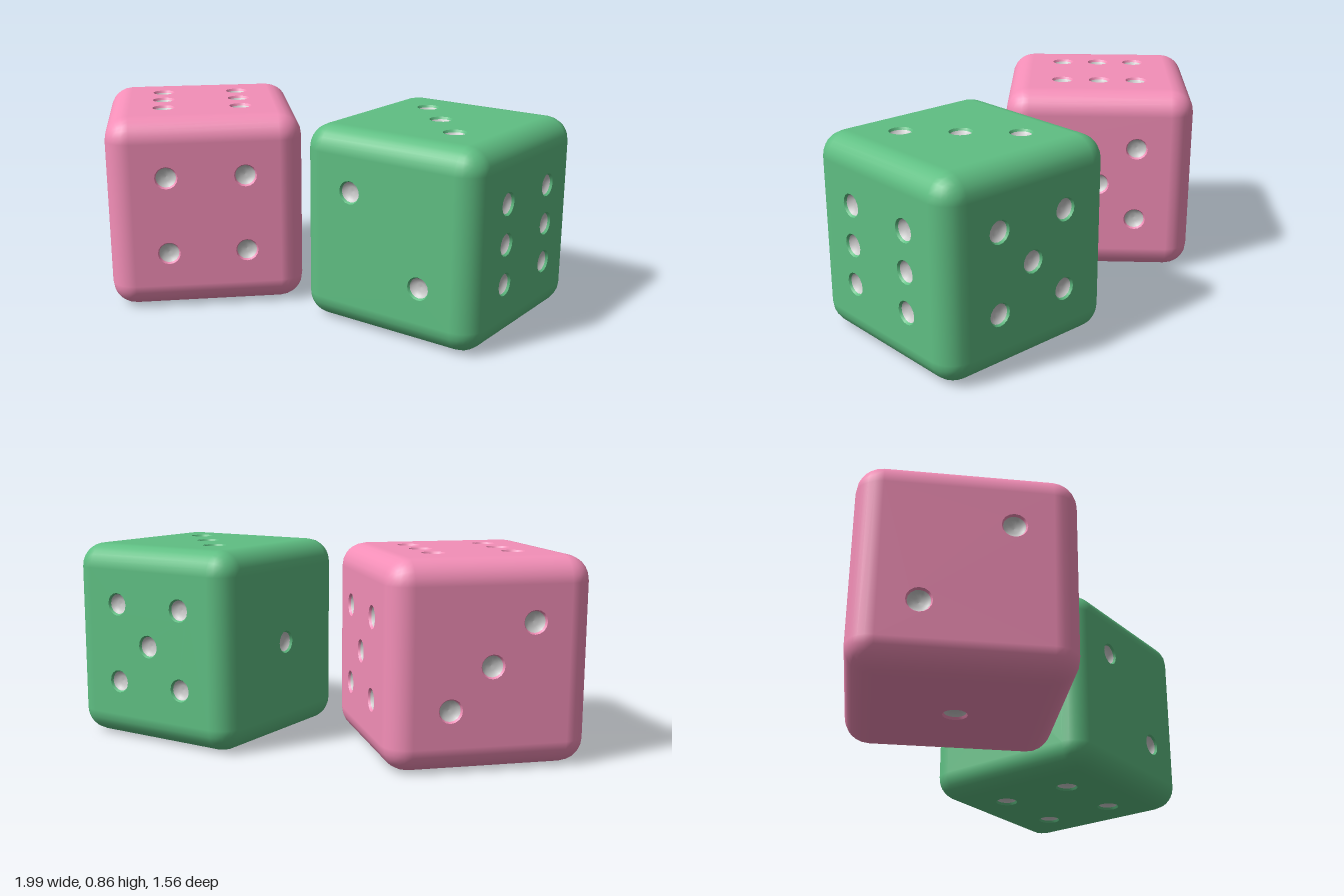
import * as THREE from 'three';
import { mergeGeometries } from 'three/addons/utils/BufferGeometryUtils.js';
import { RoundedBoxGeometry } from 'three/addons/geometries/RoundedBoxGeometry.js';

const SIZE = 0.857, HALF = SIZE / 2, ROUND = 0.105;
const GAP = 0.172;                    // pip offset from the face centre
const RIM = 0.05, PIP = 0.044;        // dent mouth and grey bowl radii
const SIDES = 16;

// Pip layouts in units of GAP, seen facing the side
const rising = [[-1, -1], [1, 1]], falling = [[-1, 1], [1, -1]];
const four = [...rising, ...falling];
const LAYOUT = {
  one: [[0, 0]],
  two: rising,
  twoMirrored: falling,
  three: [...rising, [0, 0]],
  four,
  five: [...four, [0, 0]],
  six: [...four, [-1, 0], [1, 0]],
};

// Rotations that carry the +z side to each side of the cube
const Q = Math.PI / 2;
const TURN = {
  front: [0, 0], right: [0, Q], back: [0, 2 * Q],
  left: [0, -Q], top: [-Q, 0], bottom: [Q, 0],
};

function plain(geometry) {
  const g = geometry.index ? geometry.toNonIndexed() : geometry;
  g.deleteAttribute('uv');
  g.clearGroups();
  return g;
}

// Rounded edges and corners only: the flat middle of every side is left out
function roundedFrame() {
  const box = plain(new RoundedBoxGeometry(SIZE, SIZE, SIZE, 3, ROUND));
  const pos = box.attributes.position, nor = box.attributes.normal;
  const points = [], normals = [];
  const isFlat = (i) =>
    Math.max(Math.abs(nor.getX(i)), Math.abs(nor.getY(i)), Math.abs(nor.getZ(i))) > 0.9999;
  for (let i = 0; i < pos.count; i += 3) {
    if (isFlat(i) && isFlat(i + 1) && isFlat(i + 2)) continue;
    for (let k = i; k < i + 3; k++) {
      points.push(pos.getX(k), pos.getY(k), pos.getZ(k));
      normals.push(nor.getX(k), nor.getY(k), nor.getZ(k));
    }
  }
  const frame = new THREE.BufferGeometry();
  frame.setAttribute('position', new THREE.Float32BufferAttribute(points, 3));
  frame.setAttribute('normal', new THREE.Float32BufferAttribute(normals, 3));
  return frame;
}

// Flat side with a round hole for each pip
function pierced(pips) {
  const h = HALF - ROUND;
  const shape = new THREE.Shape([[-h, -h], [h, -h], [h, h], [-h, h]].map((p) => new THREE.Vector2(...p)));
  for (const [u, v] of pips) {
    const hole = new THREE.Path();
    hole.absarc(u * GAP, v * GAP, RIM, 0, Math.PI * 2, true);
    shape.holes.push(hole);
  }
  return plain(new THREE.ShapeGeometry(shape, SIDES / 2));
}

// Hollow turned around the side's normal, profile from the mouth inwards
function dent(profile, [u, v]) {
  const g = new THREE.LatheGeometry(profile.map((p) => new THREE.Vector2(...p)), SIDES);
  return plain(g.rotateX(Q).translate(u * GAP, v * GAP, 0));
}

const RIM_PROFILE = [[RIM, 0], [0.048, -0.003], [PIP, -0.01]];
const BOWL_PROFILE = [[PIP, -0.01], [0.036, -0.02], [0.02, -0.027], [0, -0.029]];

function createDie(name, color, sides) {
  const body = [roundedFrame()], bowls = [];
  for (const [side, layout] of Object.entries(sides)) {
    const pips = LAYOUT[layout], [rx, ry] = TURN[side];
    const place = (g) => g.translate(0, 0, HALF).rotateX(rx).rotateY(ry);
    body.push(place(pierced(pips)));
    for (const pip of pips) {
      body.push(place(dent(RIM_PROFILE, pip)));
      bowls.push(place(dent(BOWL_PROFILE, pip)));
    }
  }
  const die = new THREE.Group();
  die.name = name;
  const add = (part, list, tint) => {
    const mesh = new THREE.Mesh(mergeGeometries(list), new THREE.MeshStandardMaterial({ color: tint }));
    mesh.name = part;
    die.add(mesh);
  };
  add('body', body, color);
  add('pips', bowls, 0xcccccc);
  return die;
}

export function createModel() {
  const model = new THREE.Group();
  model.name = 'pairOfDice';

  const pink = createDie('pinkDie', 0xf48fb8, {
    front: 'four', back: 'three', right: 'five', left: 'two', top: 'six', bottom: 'one',
  });
  pink.position.set(-0.572, HALF, -0.358);

  // Stands at 45 degrees to the other die
  const green = createDie('greenDie', 0x5fbf83, {
    front: 'six', back: 'one', right: 'five', left: 'twoMirrored', top: 'three', bottom: 'four',
  });
  green.position.set(0.43, HALF, 0.215);
  green.rotation.y = Math.PI / 4;

  model.add(pink, green);
  return model;
}
